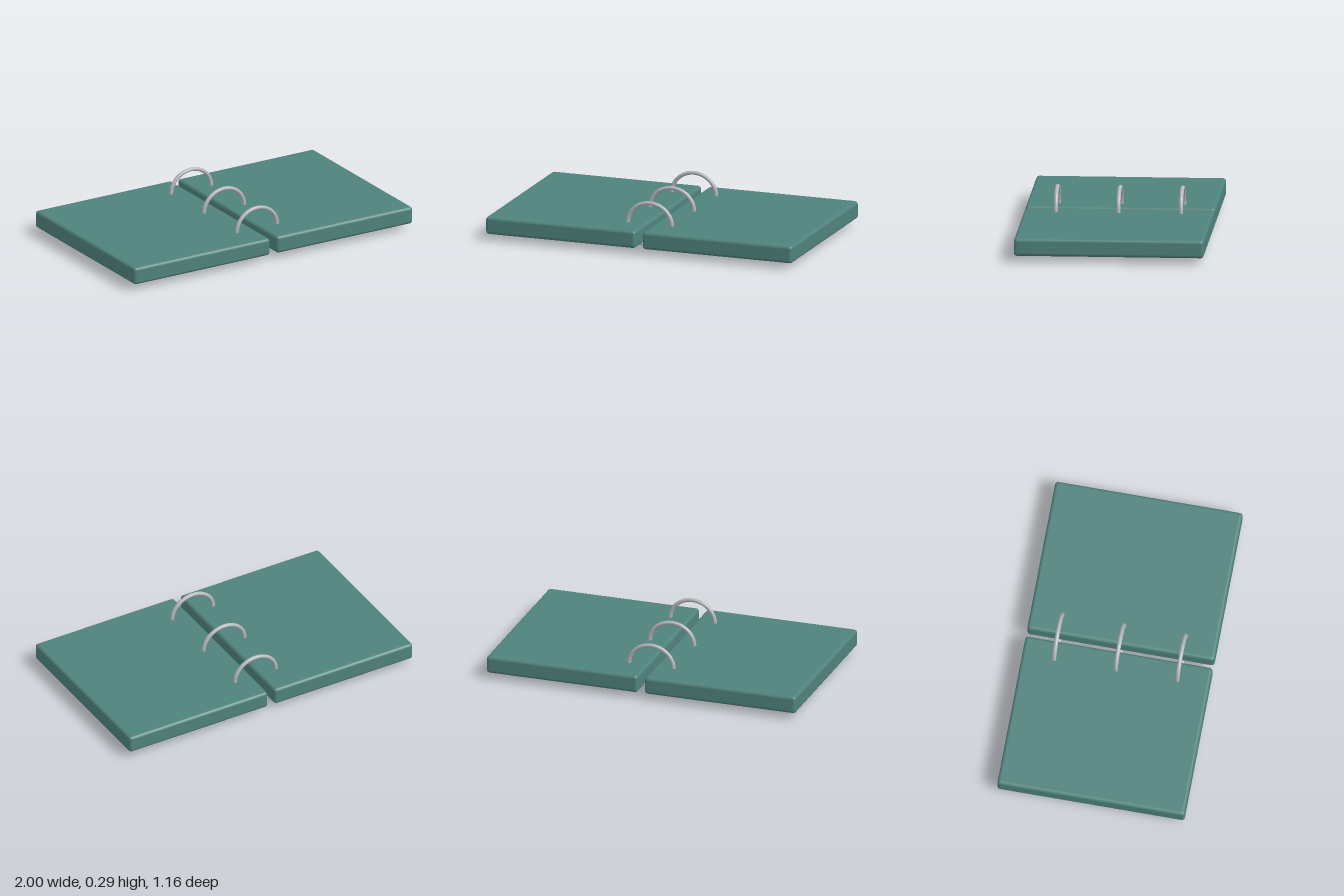
import * as THREE from 'three';
import { RoundedBoxGeometry } from 'three/addons/geometries/RoundedBoxGeometry.js';

export function createModel() {
  const model = new THREE.Group();
  model.name = 'ringBinder';

  const cover = new THREE.MeshStandardMaterial({ color: 0x4f827c });
  cover.name = 'teal cover';
  const metal = new THREE.MeshStandardMaterial({ color: 0xb4b6ba });
  metal.name = 'silver metal';

  // Two rounded slabs with a narrow gap between them
  const slab = new RoundedBoxGeometry(0.977, 0.11, 1.163, 4, 0.02);
  for (const [side, name] of [[1, 'leftSlab'], [-1, 'rightSlab']]) {
    const mesh = new THREE.Mesh(slab, cover);
    mesh.name = name;
    mesh.position.set(side * 0.5115, 0.092, 0);
    model.add(mesh);
  }

  // Three slightly flattened rings joining the slabs
  const ring = new THREE.TorusGeometry(0.144, 0.0128, 16, 64);
  ring.scale(1, 0.925, 1);
  ring.computeVertexNormals();
  [-0.383, 0, 0.383].forEach((z, i) => {
    const mesh = new THREE.Mesh(ring, metal);
    mesh.name = `bindingRing${i + 1}`;
    mesh.position.set(0, 0.145, z);
    model.add(mesh);
  });

  return model;
}
